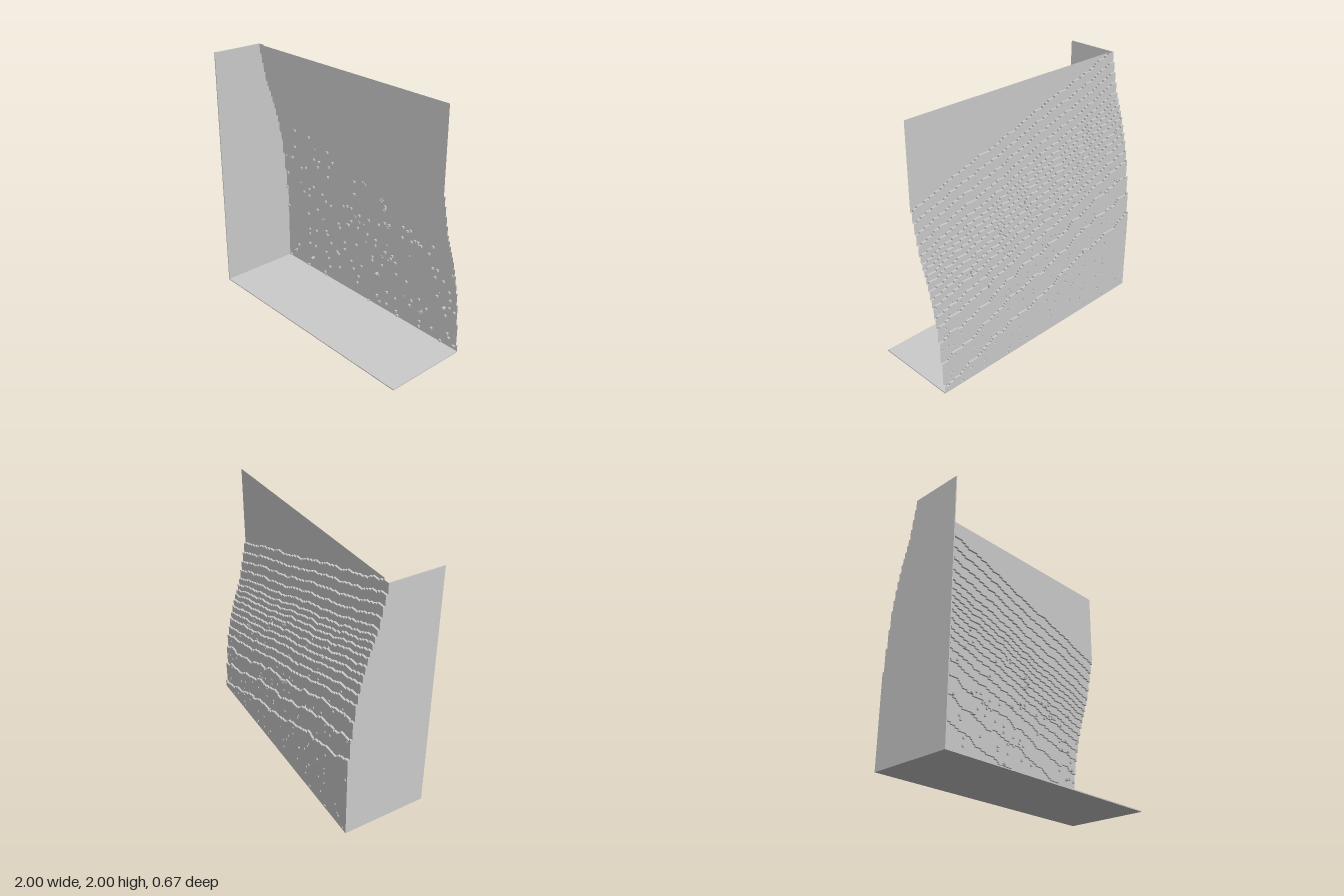
import * as THREE from 'three';

const N = 128;            // cells per side of the terraced wall
const CELL = 2 / N;       // cell size, also the terrace step
const DEPTH = 0.336;      // half of the total depth
const THIN = 0.008;       // floor and side panel thickness

// Slope profile: [distance up the slope, z]
const PROFILE = [
  [0, -0.334], [0.06, -0.328], [0.31, -0.308], [0.49, -0.288], [0.68, -0.25],
  [0.865, -0.2], [1.02, -0.148], [1.15, -0.12], [1.37, -0.078],
];

function profileZ(s) {
  if (s <= PROFILE[0][0]) return PROFILE[0][1];
  for (let i = 1; i < PROFILE.length; i++) {
    const [s0, z0] = PROFILE[i - 1], [s1, z1] = PROFILE[i];
    if (s <= s1) return z0 + (z1 - z0) * (s - s0) / (s1 - s0);
  }
  return PROFILE[PROFILE.length - 1][1];
}

function seeded(seed) {
  return () => (seed = (seed * 16807) % 2147483647) / 2147483647;
}

// Whole-number terrace level of every cell
function makeLevels() {
  const random = seeded(71);
  const levels = [];
  for (let i = 0; i < N; i++) {
    const column = [];
    const x = -1 + (i + 0.5) * CELL;
    for (let j = 0; j < N; j++) {
      const y = (j + 0.5) * CELL;
      let s = y - 0.32 * (1 - x);
      const wobble = Math.sin(9 * x + 4 * y) + 0.6 * Math.sin(23 * x - 7 * y) + 0.4 * Math.sin(47 * x + 3 * y);
      s += wobble * (s < 0.5 ? 0.016 : 0.007);
      column.push(Math.min(17, Math.floor((profileZ(s) + DEPTH) / CELL + 0.5)));
    }
    levels.push(column);
  }
  // Scattered one-cell pits on the gentle lower slope
  for (let k = 0; k < 190; k++) {
    const i = 1 + Math.floor(random() * (N - 2)), j = Math.floor(random() * 95);
    if (levels[i][j] < 9) levels[i][j] += 1;
  }
  return levels;
}

// Stepped sheet: one face per run of equal cells, plus the risers between levels
function terrainGeometry(levels) {
  const positions = [];
  const quad = (a, b, c, d) => positions.push(...a, ...b, ...c, ...a, ...c, ...d);
  const zOf = (i, j) => -DEPTH + levels[i][j] * CELL;
  const xOf = (i) => -1 + i * CELL;
  for (let j = 0; j < N; j++) {
    const y0 = j * CELL, y1 = y0 + CELL;
    let start = 0;
    for (let i = 0; i < N; i++) {
      const z = zOf(i, j), x0 = xOf(i), x1 = xOf(i + 1);
      if (i === N - 1 || levels[i + 1][j] !== levels[i][j]) {
        const xs = xOf(start);
        quad([xs, y0, z], [xs, y1, z], [x1, y1, z], [x1, y0, z]);
        start = i + 1;
        if (i < N - 1) {
          const zn = zOf(i + 1, j);
          quad([x1, y0, z], [x1, y1, z], [x1, y1, zn], [x1, y0, zn]);
        }
      }
      if (j < N - 1 && levels[i][j + 1] !== levels[i][j]) {
        const zn = zOf(i, j + 1);
        quad([x0, y1, z], [x0, y1, zn], [x1, y1, zn], [x1, y1, z]);
      }
    }
  }
  const geometry = new THREE.BufferGeometry();
  geometry.setAttribute('position', new THREE.Float32BufferAttribute(positions, 3));
  geometry.computeVertexNormals();
  return geometry;
}

// Side panel whose rear edge follows the terraces of the first column
function panelGeometry(column) {
  const shape = new THREE.Shape();
  shape.moveTo(DEPTH, 0);
  column.forEach((level, j) => {
    const z = -DEPTH + level * CELL;
    if (j === 0 || level !== column[j - 1]) shape.lineTo(z, j * CELL);
    if (j === N - 1 || level !== column[j + 1]) shape.lineTo(z, (j + 1) * CELL);
  });
  shape.lineTo(DEPTH, 2);
  const geometry = new THREE.ExtrudeGeometry(shape, { depth: THIN, bevelEnabled: false });
  geometry.rotateY(-Math.PI / 2);
  geometry.translate(-1 + THIN, 0, 0);
  return geometry;
}

export function createModel() {
  const group = new THREE.Group();
  const material = new THREE.MeshStandardMaterial({ color: 0xcccccc, side: THREE.DoubleSide });
  const add = (name, geometry) => {
    const mesh = new THREE.Mesh(geometry, material);
    mesh.name = name;
    group.add(mesh);
    return mesh;
  };
  const levels = makeLevels();
  add('terracedWall', terrainGeometry(levels));
  add('sidePanel', panelGeometry(levels[0]));
  add('floor', new THREE.BoxGeometry(2, THIN, DEPTH * 2)).position.y = THIN / 2;
  return group;
}
